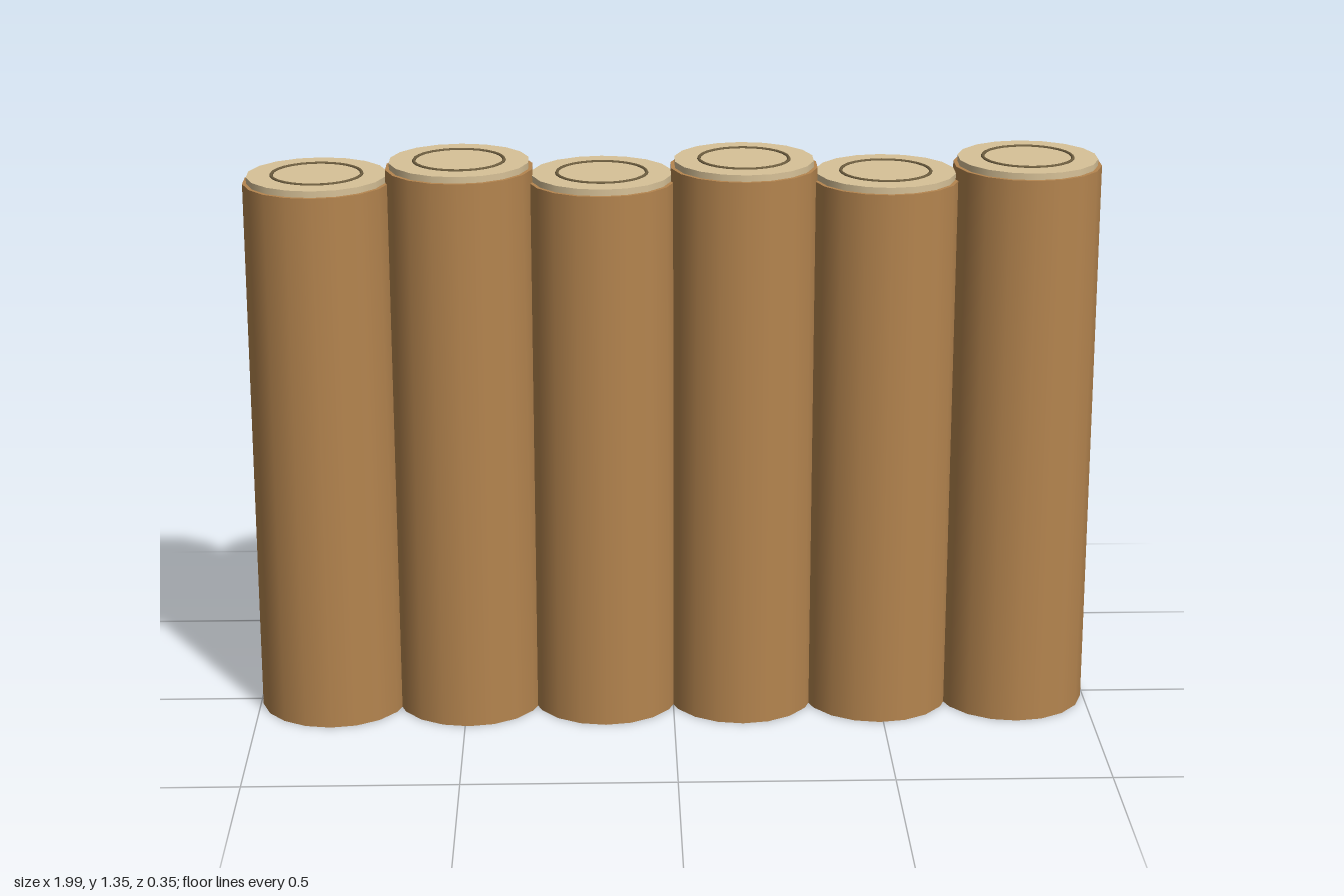
import * as THREE from 'three';
import { RoundedBoxGeometry } from 'three/addons/geometries/RoundedBoxGeometry.js';

const LOGS = 6, SPACING = 0.328, SIDES = 18;
const RADIUS_BOTTOM = 0.177, RADIUS_TOP = 0.171;

const bark = new THREE.MeshStandardMaterial({ color: 0xb5854f });
const cutWood = new THREE.MeshStandardMaterial({ color: 0xd8c298 });
const ringWood = new THREE.MeshStandardMaterial({ color: 0x6f5f40 });
const railWood = new THREE.MeshStandardMaterial({ color: 0x9c6b3f });

function addMesh(parent, name, geometry, material, x, y, z) {
  const mesh = new THREE.Mesh(geometry, material);
  mesh.name = name;
  mesh.position.set(x, y, z);
  parent.add(mesh);
  return mesh;
}

// One upright log: tapered trunk, pale cut end and a growth ring
function createLog(height) {
  const log = new THREE.Group();
  log.name = 'log';
  addMesh(log, 'trunk', new THREE.CylinderGeometry(RADIUS_TOP, RADIUS_BOTTOM, height, SIDES),
    bark, 0, height / 2, 0);
  addMesh(log, 'cutEnd', new THREE.CylinderGeometry(0.162, 0.162, 0.03, SIDES),
    cutWood, 0, height, 0);
  const ring = addMesh(log, 'growthRing', new THREE.TorusGeometry(0.104, 0.004, 6, 28),
    ringWood, 0, height + 0.015, 0);
  ring.rotation.x = Math.PI / 2;
  return log;
}

export function createModel() {
  const model = new THREE.Group();
  model.name = 'logWall';

  // Row of logs, alternating short and tall
  for (let i = 0; i < LOGS; i++) {
    const log = createLog(i % 2 ? 1.327 : 1.296);
    log.position.x = (i - (LOGS - 1) / 2) * SPACING;
    model.add(log);
  }

  // Two rails across the back
  for (const [name, y] of [['lowerRail', 0.357], ['upperRail', 0.914]]) {
    addMesh(model, name, new RoundedBoxGeometry(1.96, 0.09, 0.096, 2, 0.015),
      railWood, 0, y, -0.128);
  }
  return model;
}
